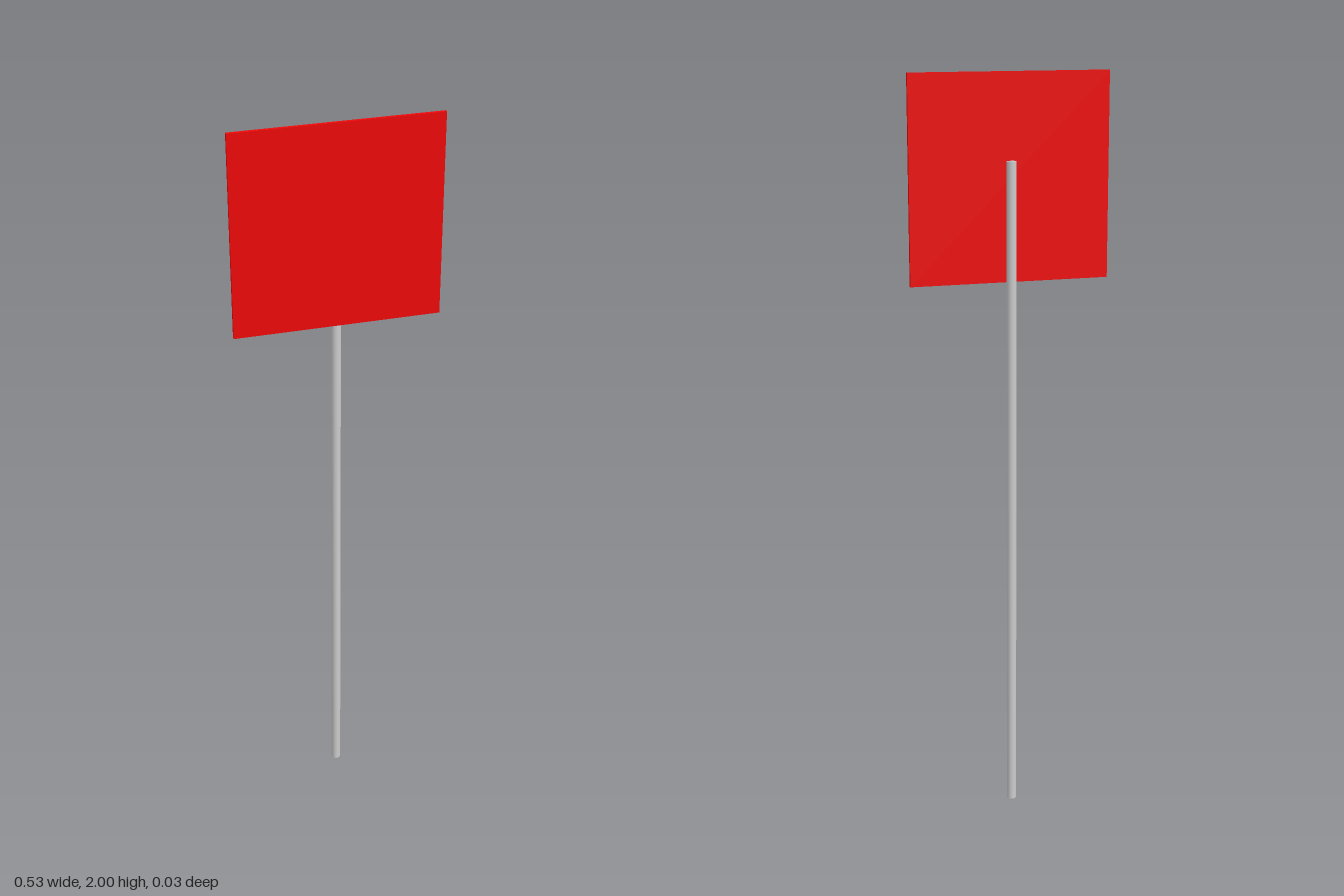
import * as THREE from 'three';

const POLE_RADIUS = 0.0128;
const POLE_HEIGHT = 1.778;
const PANEL_SIZE = 0.533;
const PANEL_DEPTH = 0.0088;
const HALF_DEPTH = 0.0163;

export function createModel() {
  const group = new THREE.Group();
  group.name = 'signPost';

  // Round pole standing on the ground behind the panel
  const pole = new THREE.Mesh(
    new THREE.CylinderGeometry(POLE_RADIUS, POLE_RADIUS, POLE_HEIGHT, 16),
    new THREE.MeshStandardMaterial({ color: 0xcccccc })
  );
  pole.name = 'pole';
  pole.position.set(0, POLE_HEIGHT / 2, POLE_RADIUS - HALF_DEPTH);
  group.add(pole);

  // Thin square panel on the front of the pole
  const panel = new THREE.Mesh(
    new THREE.BoxGeometry(PANEL_SIZE, PANEL_SIZE, PANEL_DEPTH),
    new THREE.MeshStandardMaterial({ color: 0xee0808 })
  );
  panel.name = 'signPanel';
  panel.position.set(0, 2 - PANEL_SIZE / 2, HALF_DEPTH - PANEL_DEPTH / 2);
  group.add(panel);

  return group;
}
